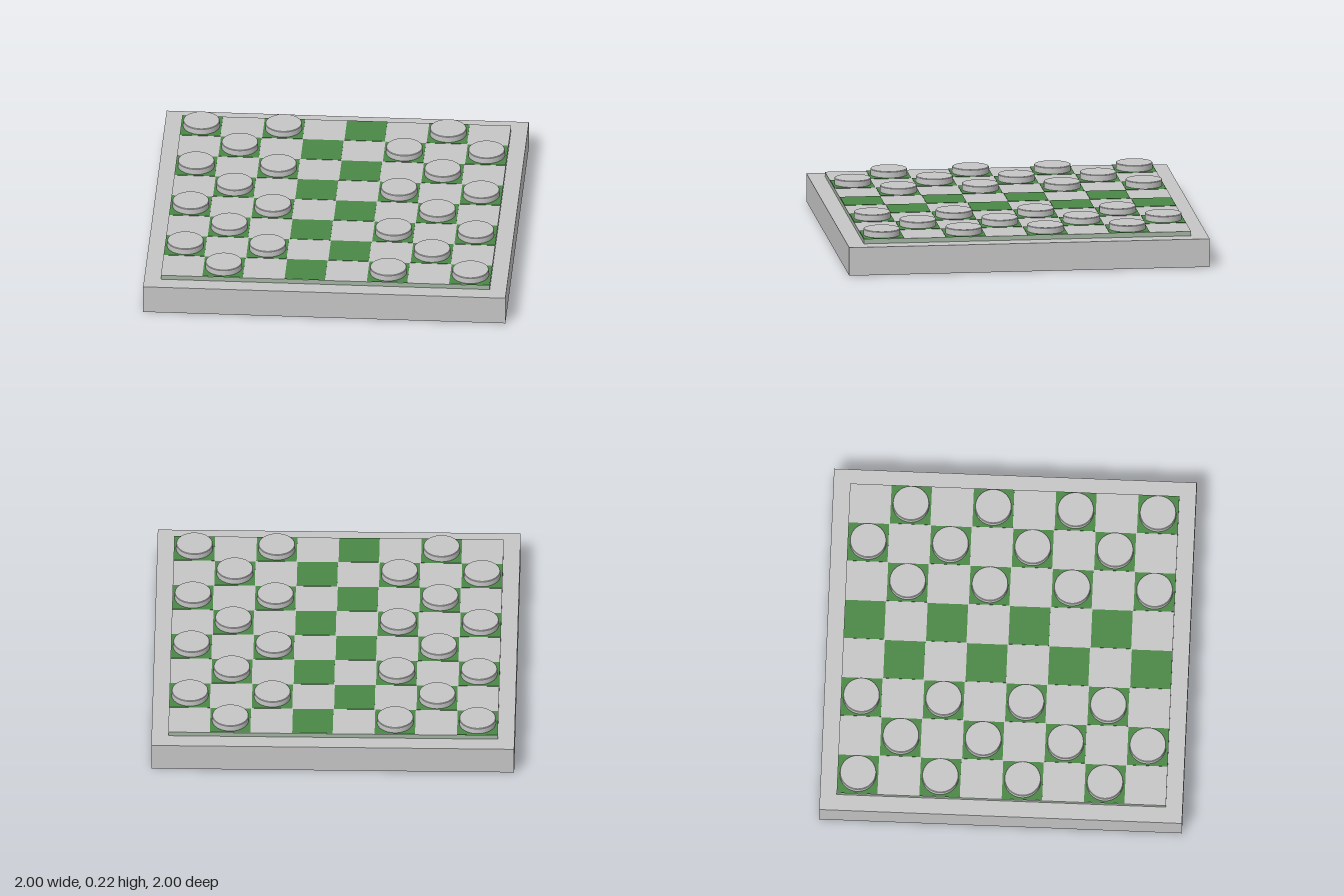
import * as THREE from 'three';

export function createModel() {
  const model = new THREE.Group();
  model.name = 'checkersBoard';

  const grey = new THREE.MeshStandardMaterial({ color: 0xc6c6c6 });
  grey.name = 'light grey';
  const green = new THREE.MeshStandardMaterial({ color: 0x4a8845 });
  green.name = 'board green';
  const sage = new THREE.MeshStandardMaterial({ color: 0xa3b5a2 });
  sage.name = 'sage edge';

  function add(name, geometry, material, x, y, z) {
    const mesh = new THREE.Mesh(geometry, material);
    mesh.name = name;
    mesh.position.set(x, y, z);
    model.add(mesh);
    return mesh;
  }

  const baseTop = 0.158;
  const boardTop = 0.183;
  const cell = 0.227;

  // Thick base and the raised playing surface with its tinted edge
  add('base', new THREE.BoxGeometry(2, baseTop, 2), grey, 0, baseTop / 2, 0);
  add('playingSurface', new THREE.BoxGeometry(cell * 8, boardTop - baseTop, cell * 8),
    [sage, sage, grey, grey, sage, sage], 0, (baseTop + boardTop) / 2, 0);

  // Dark squares are thin plates; pieces are short discs with a fine rim bevel
  const squareGeometry = new THREE.BoxGeometry(0.223, 0.002, 0.223);
  const radius = 0.101;
  const height = 0.037;
  const bevel = 0.003;
  const wallGeometry = new THREE.CylinderGeometry(radius, radius, height - bevel, 48, 1, true);
  const topGeometry = new THREE.CylinderGeometry(radius - bevel, radius, bevel, 48);

  for (let row = 0; row < 8; row++) {
    for (let col = row % 2; col < 8; col += 2) {
      const x = (col - 3.5) * cell;
      const z = (row - 3.5) * cell;
      add('darkSquare', squareGeometry, green, x, boardTop + 0.001, z);

      // The two middle columns stay empty
      if (col === 3 || col === 4) continue;
      add('pieceWall', wallGeometry, grey, x, boardTop + (height - bevel) / 2, z);
      add('pieceTop', topGeometry, grey, x, boardTop + height - bevel / 2, z);
    }
  }
  return model;
}
